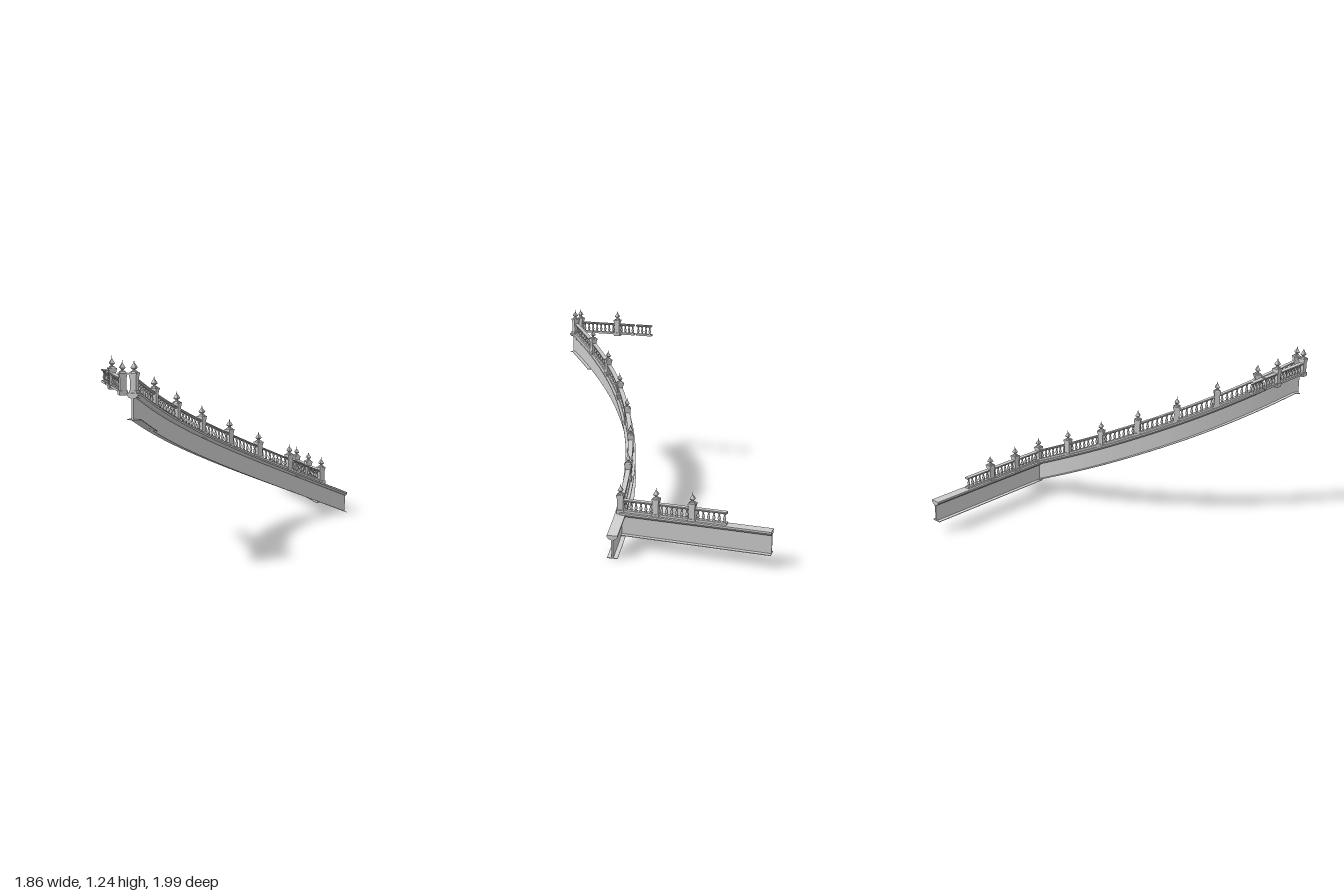
import * as THREE from 'three';
import { toCreasedNormals } from 'three/addons/utils/BufferGeometryUtils.js';

const mat = new THREE.MeshStandardMaterial({ color: 0xcccccc, side: THREE.DoubleSide });
const V = (x, y, z) => new THREE.Vector3(x, y, z);

function add(group, geo, name) {
  const m = new THREE.Mesh(geo, mat);
  m.name = name;
  group.add(m);
  return m;
}

// A run is a plan curve with a height for each distance along it
function makeRun(curve, height) {
  const length = curve.getLength();
  return {
    length,
    at(s) {
      const f = Math.min(1, Math.max(0, s / length));
      const p = curve.getPointAt(f);
      const t = curve.getTangentAt(f);
      p.y = height(s);
      return { p, side: V(t.z, 0, -t.x).normalize(), yaw: Math.atan2(t.x, t.z) };
    },
  };
}

// Sweep an upright, counter-clockwise section [side, up] along part of a run
function sweep(run, section, s0, s1, step = 0.04, extra = []) {
  const n = Math.max(1, Math.ceil((s1 - s0) / step));
  const stops = Array.from({ length: n + 1 }, (_, i) => s0 + ((s1 - s0) * i) / n);
  stops.push(...extra);
  stops.sort((a, b) => a - b);
  const rings = stops.map((s) => {
    const { p, side } = run.at(s);
    return section.map(([u, v]) => p.clone().addScaledVector(side, u).add(V(0, v, 0)));
  });
  const pos = [];
  const tri = (...c) => c.forEach((q) => pos.push(q.x, q.y, q.z));
  for (let i = 0; i + 1 < rings.length; i++) {
    const a = rings[i], b = rings[i + 1];
    for (let k = 0; k < a.length; k++) {
      const j = (k + 1) % a.length;
      tri(a[k], a[j], b[j]);
      tri(a[k], b[j], b[k]);
    }
  }
  const first = rings[0], last = rings[rings.length - 1];
  for (const [i, j, k] of THREE.ShapeUtils.triangulateShape(section.map(([u, v]) => new THREE.Vector2(u, v)), [])) {
    tri(first[k], first[j], first[i]);
    tri(last[i], last[j], last[k]);
  }
  const geo = new THREE.BufferGeometry();
  geo.setAttribute('position', new THREE.Float32BufferAttribute(pos, 3));
  return toCreasedNormals(geo, 0.5);
}

const rect = (u0, u1, v0, v1) => [[u0, v0], [u1, v0], [u1, v1], [u0, v1]];

// Beam: wide top flange with a stepped moulding, thin web, thin bottom flange
const DEPTH = 0.152;
function beamSection(inner) {
  return [
    [inner, -DEPTH], [0.034, -DEPTH], [0.034, -DEPTH + 0.004], [0.006, -DEPTH + 0.004],
    [0.006, -0.03], [0.022, -0.026], [0.034, -0.012], [0.034, 0],
    [-0.034, 0], [-0.034, -0.012], [-0.022, -0.026], [-0.006, -0.03],
    [-0.006, -DEPTH + 0.004], [inner, -DEPTH + 0.004],
  ];
}

// Turned baluster, unit height
const balusterGeo = new THREE.LatheGeometry(
  [[0.009, 0], [0.009, 0.1], [0.005, 0.16], [0.0105, 0.36], [0.008, 0.52], [0.004, 0.72], [0.0085, 0.88], [0.0085, 1]]
    .map(([x, y]) => new THREE.Vector2(x, y)), 8);

// Four-sided finial: neck, flared bulb and spike
const finialGeo = new THREE.LatheGeometry(
  [[0.024, 0], [0.02, 0.008], [0.009, 0.012], [0.009, 0.018], [0.022, 0.027], [0.017, 0.036], [0.008, 0.048], [0.004, 0.052], [0.0, 0.072]]
    .map(([x, y]) => new THREE.Vector2(x, y)), 4).rotateY(Math.PI / 4);
const finialFlat = toCreasedNormals(finialGeo, 0.4);

function addPost(group, run, s) {
  const { p, yaw } = run.at(s);
  const post = new THREE.Group();
  post.name = 'post';
  const block = (w, y0, y1, name) => {
    add(post, new THREE.BoxGeometry(w, y1 - y0, w), name).position.y = (y0 + y1) / 2;
  };
  block(0.048, -0.012, 0.014, 'postPlinth');
  block(0.038, 0.014, 0.102, 'postShaft');
  block(0.043, 0.09, 0.102, 'postCollar');
  block(0.048, 0.102, 0.113, 'postCap');
  add(post, finialFlat, 'finial').position.y = 0.113;
  post.position.copy(p);
  post.rotation.y = yaw;
  group.add(post);
}

const RAIL = 0.07, CURB = 0.014;
const handrail = [[-0.01, RAIL], [0.01, RAIL], [0.016, RAIL + 0.006], [0.016, RAIL + 0.013],
  [-0.016, RAIL + 0.013], [-0.016, RAIL + 0.006]];

// One length of railing: curb, handrail and evenly spaced balusters
function addSpan(group, run, s0, s1) {
  add(group, sweep(run, rect(-0.016, 0.016, 0, CURB), s0, s1), 'curb');
  add(group, sweep(run, handrail, s0, s1), 'handrail');
  const n = Math.max(1, Math.round((s1 - s0) / 0.034));
  for (let i = 0; i < n; i++) {
    const { p } = run.at(s0 + ((i + 0.5) * (s1 - s0)) / n);
    const b = add(group, balusterGeo, 'baluster');
    b.position.set(p.x, p.y + CURB - 0.003, p.z);
    b.scale.y = RAIL - CURB + 0.006;
  }
}

export function createModel() {
  const model = new THREE.Group();
  model.name = 'curvedStairRailing';
  const part = (name) => {
    const g = new THREE.Group();
    g.name = name;
    model.add(g);
    return g;
  };

  // Curved flight, level at its head and then falling evenly
  const plan = [[-0.862, 0.973], [-0.68, 0.73], [-0.492, 0.53], [-0.285, 0.36], [-0.05, 0.215],
    [0.195, 0.1], [0.455, 0.02], [0.725, -0.03], [0.925, -0.047]];
  const curve = new THREE.CatmullRomCurve3(plan.map(([x, z]) => V(x, 0, z)), false, 'centripetal');
  curve.arcLengthDivisions = 800;
  const L = curve.getLength(), flat = 0.035;
  const flight = makeRun(curve, (s) => 1.058 - (0.9 * Math.max(0, s - flat)) / (L - flat));

  const stair = part('curvedStringer');
  add(stair, sweep(flight, beamSection(-0.0065), 0, L, 0.04, [flat]), 'stringerBeam');
  const stub = rect(-0.034, -0.006, -DEPTH, -DEPTH + 0.004);
  add(stair, sweep(flight, stub, 0, 0.27, 0.04, [flat]), 'upperInnerFlange');
  add(stair, sweep(flight, stub, L - 0.47, L), 'lowerInnerFlange');

  const stairRail = part('curvedBalustrade');
  const firstPost = 0.03, lastPost = L - 0.2, pitch = (lastPost - firstPost) / 7;
  for (let i = 0; i < 8; i++) {
    const s = firstPost + i * pitch;
    addPost(stairRail, flight, s);
    if (i < 7) addSpan(stairRail, flight, s + 0.019, s + pitch - 0.019);
  }

  // Straight level beam and railing running back from the foot
  const lower = makeRun(new THREE.LineCurve3(V(0.725, 0, -0.03), V(0.725, 0, -1)), () => 0.243);
  add(part('straightStringer'), sweep(lower, beamSection(-0.034), 0, lower.length, 2), 'straightBeam');
  const lowerRail = part('straightBalustrade');
  for (const s of [0.235, 0.47]) addPost(lowerRail, lower, s);
  for (const [a, b] of [[0.02, 0.216], [0.254, 0.451], [0.489, 0.69]]) addSpan(lowerRail, lower, a, b);

  // Level railing at the head of the flight, with a small break
  const upper = makeRun(new THREE.LineCurve3(V(-0.907, 0, 0.93), V(-0.907, 0, 0.33)), () => 1.058);
  const upperRail = part('upperBalustrade');
  for (const s of [0, 0.315]) addPost(upperRail, upper, s);
  for (const [a, b] of [[0.019, 0.296], [0.334, 0.458], [0.474, 0.6]]) addSpan(upperRail, upper, a, b);

  return model;
}
